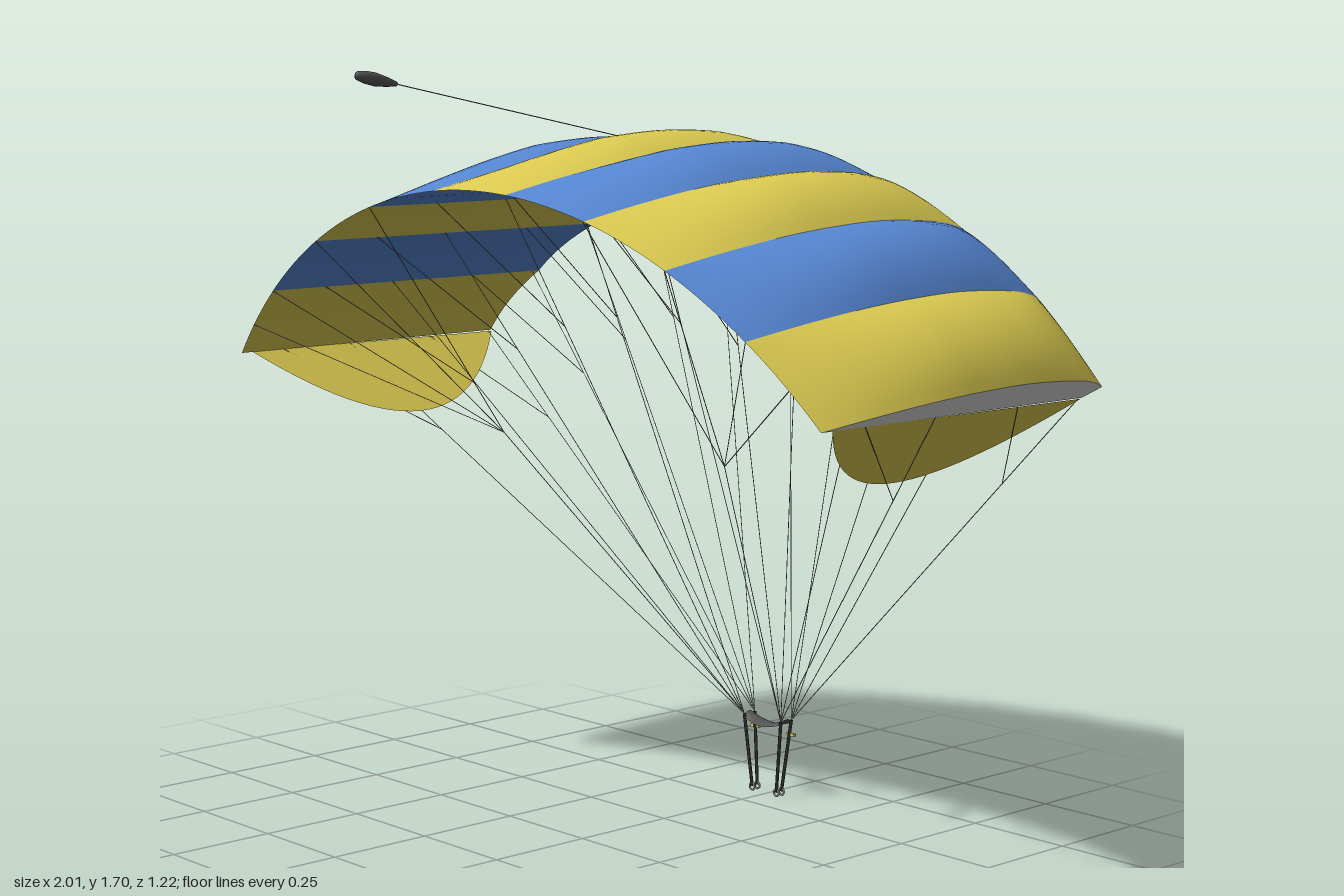
import * as THREE from 'three';
import { mergeGeometries } from 'three/addons/utils/BufferGeometryUtils.js';

const CELLS = 9, SPAN = 0.841, RADIUS = 1.262, CENTRE_Y = 0.188;

const mat = (name, color) => {
  const m = new THREE.MeshStandardMaterial({ color, side: THREE.DoubleSide });
  m.name = name;
  return m;
};

// Rectangular sheet from a rule fn(u, v) -> Vector3
function sheet(fn, nu, nv) {
  const pos = [], index = [];
  for (let i = 0; i <= nu; i++)
    for (let j = 0; j <= nv; j++) pos.push(...fn(i / nu, j / nv).toArray());
  for (let i = 0; i < nu; i++)
    for (let j = 0; j < nv; j++) {
      const a = i * (nv + 1) + j, b = a + nv + 1;
      index.push(a, b, a + 1, b, b + 1, a + 1);
    }
  const g = new THREE.BufferGeometry();
  g.setAttribute('position', new THREE.Float32BufferAttribute(pos, 3));
  g.setIndex(index);
  g.computeVertexNormals();
  return g;
}

// Round rod between two points
function rod(a, b, r, sides = 5) {
  const g = new THREE.CylinderGeometry(r, r, a.distanceTo(b), sides);
  const dir = b.clone().sub(a).normalize();
  g.applyQuaternion(new THREE.Quaternion().setFromUnitVectors(new THREE.Vector3(0, 1, 0), dir));
  const m = a.clone().add(b).multiplyScalar(0.5);
  return g.translate(m.x, m.y, m.z);
}

// Canopy rules: angle across the span, u = 0 at the open nose and 1 at the tail
const V = (x, y, z) => new THREE.Vector3(x, y, z);
const arc = (angle, r, z) => V(r * Math.sin(angle), CENTRE_Y + r * Math.cos(angle), z);
const sweep = (angle) => (1 - Math.cos(angle)) / (1 - Math.cos(SPAN));
const noseZ = (angle) => -0.6 + 0.035 * sweep(angle);
const tailZ = (angle) => 0.32 - 0.08 * sweep(angle);
const profile = new THREE.SplineCurve([
  [0, 0.038], [0.05, 0.057], [0.14, 0.074], [0.33, 0.085], [0.5, 0.077], [0.66, 0.06], [0.84, 0.031], [1, 0],
].map(([x, y]) => new THREE.Vector2(x, y)));

function topPoint(angle, t, bulge) {
  const p = profile.getPoint(t);
  const z0 = noseZ(angle) + 0.022 * bulge;
  const puff = 0.03 * bulge * (0.4 + 0.6 * Math.min(1, p.x * 5)) * Math.min(1, (1 - p.x) * 2.2);
  return arc(angle, RADIUS + p.y + puff, THREE.MathUtils.lerp(z0, tailZ(angle), p.x));
}
function bottomPoint(angle, t, bulge = 0) {
  const u = profile.getPoint(t).x;
  const z0 = noseZ(angle) + 0.035 + 0.01 * bulge;
  return arc(angle, RADIUS + 0.006 * (1 - u), THREE.MathUtils.lerp(z0, tailZ(angle), u));
}

export function createModel() {
  const group = new THREE.Group();
  const yellow = mat('yellow fabric', 0xdccb50);
  const blue = mat('blue fabric', 0x5687d4);
  const white = mat('white rib fabric', 0xd8d8d8);
  const grey = mat('dark grey fabric', 0x555555);
  const black = mat('black webbing', 0x303030);
  const cord = mat('grey cord', 0x8c8c86);
  const add = (name, geometry, material) => {
    const m = new THREE.Mesh(geometry, material);
    m.name = name;
    group.add(m);
    return m;
  };

  // Puffed cells in alternating colours, open at the nose
  const step = (2 * SPAN) / CELLS;
  for (let c = 0; c < CELLS; c++) {
    const a0 = -SPAN + c * step;
    const colour = c % 2 ? blue : yellow;
    const bulge = (v) => 1 - (2 * v - 1) ** 2;
    add('cellTop', sheet((v, t) => topPoint(a0 + v * step, t, bulge(v)), 12, 32), colour);
    add('cellBottom', sheet((v, t) => bottomPoint(a0 + (1 - v) * step, t, bulge(v)), 8, 24), colour);
  }

  // Ribs between the cells and at both tips
  const ribAngles = Array.from({ length: CELLS + 1 }, (_, i) => -SPAN + i * step);
  for (const a of ribAngles)
    add('rib', sheet((v, t) => bottomPoint(a, t).lerp(topPoint(a, t, 0), v), 1, 32), white);

  // Curved stabiliser panels hanging from the tips
  for (const s of [-1, 1])
    add('stabiliser', sheet((w, v) => {
      const depth = 0.235 * 4 * w * (1 - w);
      return arc(s * SPAN, RADIUS + 0.002 - depth * v, THREE.MathUtils.lerp(0.21, -0.53, w));
    }, 28, 4), yellow);

  // Suspension lines: two main lines per rib, each splitting in two
  const lines = [];
  const line = (a, b) => lines.push(rod(a, b, 0.0011, 4));
  const riserTop = (s, front) => V(s * 0.06, 0.185, front ? -0.602 : -0.567);
  for (const a of ribAngles) {
    const s = Math.sign(a);
    for (const front of [true, false]) {
      const start = riserTop(s, front);
      const [z1, z2] = front ? [-0.52, -0.33] : [-0.08, 0.12];
      const end = arc(a, RADIUS + 0.004, z1);
      line(start, end);
      line(start.clone().lerp(end, 0.76), arc(a, RADIUS + 0.002, z2));
    }
  }

  // Steering lines fanning to the tail
  for (const s of [-1, 1]) {
    const knot = V(s * 0.36, 0.87, -0.08);
    line(riserTop(s, false), knot);
    for (const a of [0.28, 0.468, 0.655, 0.76]) line(knot, bottomPoint(s * a, 1));
  }
  // Cord to the pilot chute
  line(V(0, 1.553, -0.11), V(0, 1.67, 0.5));
  add('lines', mergeGeometries(lines), cord);

  // Risers, links and steering toggles
  for (const s of [-1, 1]) {
    for (const front of [true, false]) {
      const foot = V(s * 0.04, 0.012, front ? -0.592 : -0.575);
      add('riser', rod(foot, riserTop(s, front), 0.004, 6), black);
      const ring = add('riserRing', new THREE.TorusGeometry(0.008, 0.0025, 6, 14), cord);
      ring.position.copy(foot).setY(0.0105);
    }
    const toggle = add('toggle', new THREE.BoxGeometry(0.026, 0.007, 0.007), yellow);
    toggle.position.set(s * 0.058, 0.15, -0.603);
  }

  // Slider: small sagging sheet between the risers
  add('slider', sheet((u, v) => {
    const k = Math.sin(Math.PI * u), w = 2 * v - 1;
    return V(-0.062 + 0.124 * u, 0.19 - 0.018 * k - 0.012 * w * w * (1 - 0.5 * k), -0.585 + w * (0.018 + 0.008 * k));
  }, 16, 8), grey);

  // Collapsed pilot chute trailing behind
  const pilot = add('pilotChute', new THREE.LatheGeometry([
    [0, -0.056], [0.005, -0.05], [0.01, -0.025], [0.014, 0.005], [0.013, 0.03], [0.009, 0.05], [0, 0.056],
  ].map(([x, y]) => new THREE.Vector2(x, y)), 16), grey);
  pilot.position.set(0, 1.68, 0.555);
  pilot.rotation.x = Math.PI / 2 - 0.18;

  return group;
}
